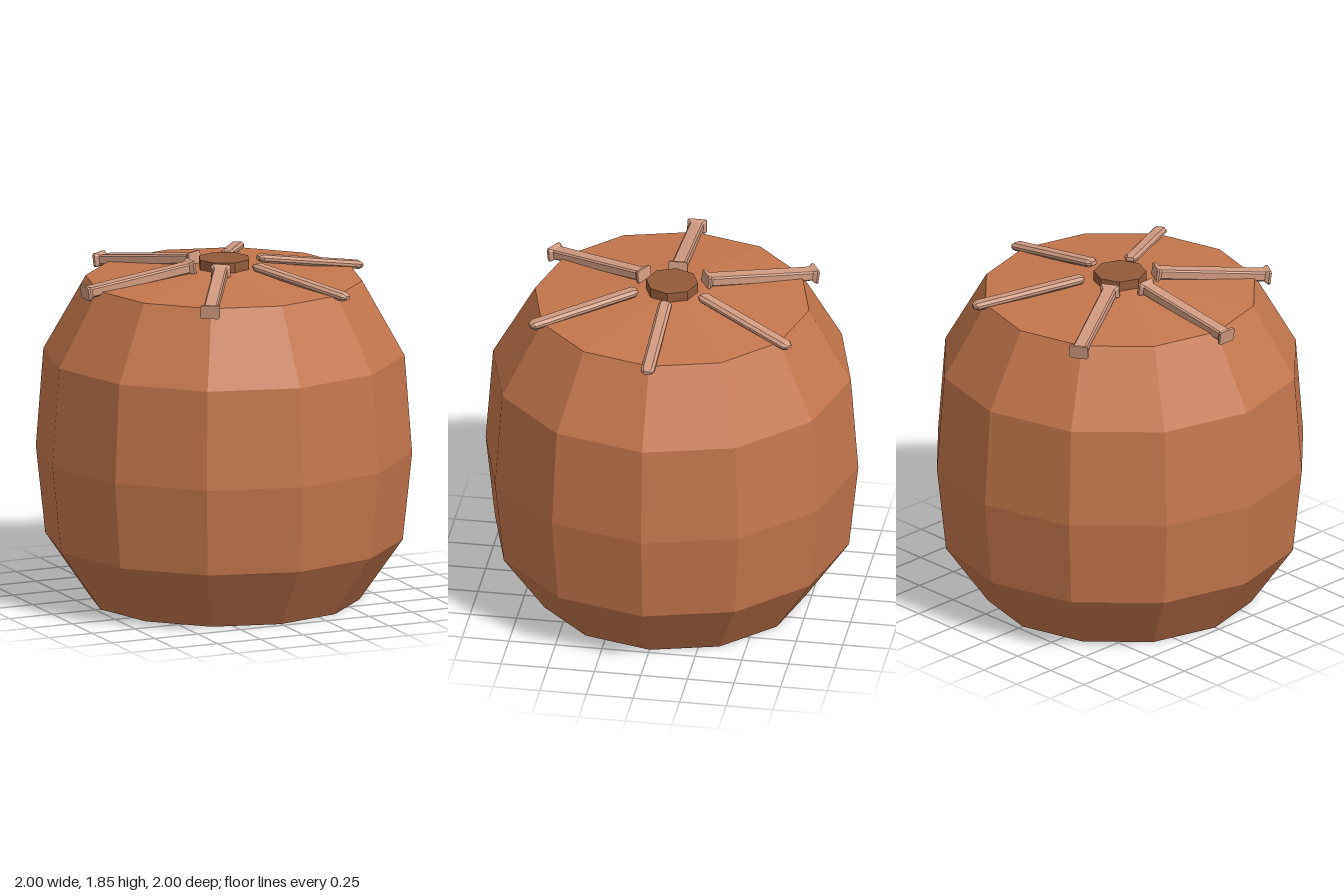
import * as THREE from 'three';

const mat = (color) => new THREE.MeshStandardMaterial({ color, flatShading: true });

// Chamfered bar along x: each station is [x, halfHeight, halfWidth, chamfer]
function barGeometry(stations) {
  const pos = [], idx = [], n = 8;
  for (const [x, h, w, c] of stations) {
    const ring = [[-h + c, -w], [h - c, -w], [h, -w + c], [h, w - c],
      [h - c, w], [-h + c, w], [-h, w - c], [-h, -w + c]];
    for (const [y, z] of ring) pos.push(x, y, z);
  }
  const last = (stations.length - 1) * n;
  for (let s = 0; s < last; s += n) {
    for (let j = 0; j < n; j++) {
      const k = (j + 1) % n;
      idx.push(s + j, s + k, s + n + k, s + j, s + n + k, s + n + j);
    }
  }
  for (let j = 1; j < n - 1; j++) {
    idx.push(0, j + 1, j, last, last + j, last + j + 1);
  }
  const g = new THREE.BufferGeometry();
  g.setAttribute('position', new THREE.Float32BufferAttribute(pos, 3));
  g.setIndex(idx);
  g.computeVertexNormals();
  return g;
}

export function createModel() {
  const model = new THREE.Group();
  model.name = 'barrel';

  // Twelve-sided body with a shallow conical lid
  const profile = [[0, 0], [0.72, 0], [0.95, 0.33], [1, 0.8], [0.96, 1.33], [0.735, 1.73], [0, 1.8]];
  const body = new THREE.Mesh(
    new THREE.LatheGeometry(profile.map(([r, y]) => new THREE.Vector2(r, y)), 12), mat(0xc4764c));
  body.name = 'body';
  model.add(body);

  // Octagonal hub in the middle of the lid
  const hub = new THREE.Mesh(new THREE.CylinderGeometry(0.14, 0.14, 0.06, 8), mat(0x935a3a));
  hub.name = 'hub';
  hub.position.y = 1.81;
  model.add(hub);

  // Six sloping ribs: tapered ends on the +x side, flared ends on the -x side
  const ribMat = mat(0xd09a80);
  const tapered = barGeometry([
    [-0.307, 0.01, 0.02, 0.006], [-0.285, 0.021, 0.036, 0.014],
    [0.285, 0.021, 0.036, 0.014], [0.307, 0.01, 0.02, 0.006]]);
  const flared = barGeometry([
    [-0.315, 0.037, 0.052, 0.008], [-0.303, 0.037, 0.052, 0.008], [-0.285, 0.027, 0.037, 0.008],
    [0.285, 0.027, 0.037, 0.008], [0.303, 0.037, 0.052, 0.008], [0.315, 0.037, 0.052, 0.008]]);
  for (let i = 0; i < 6; i++) {
    const isFlared = i >= 2 && i <= 4;
    const rib = new THREE.Mesh(isFlared ? flared : tapered, ribMat);
    rib.name = isFlared ? 'flaredRib' : 'taperedRib';
    rib.position.set(0.5, isFlared ? 1.769 : 1.773, 0);
    rib.rotation.z = isFlared ? -0.135 : -0.155;
    const arm = new THREE.Group();
    arm.name = 'ribArm';
    arm.rotation.y = (i * Math.PI) / 3;
    arm.add(rib);
    model.add(arm);
  }
  return model;
}
